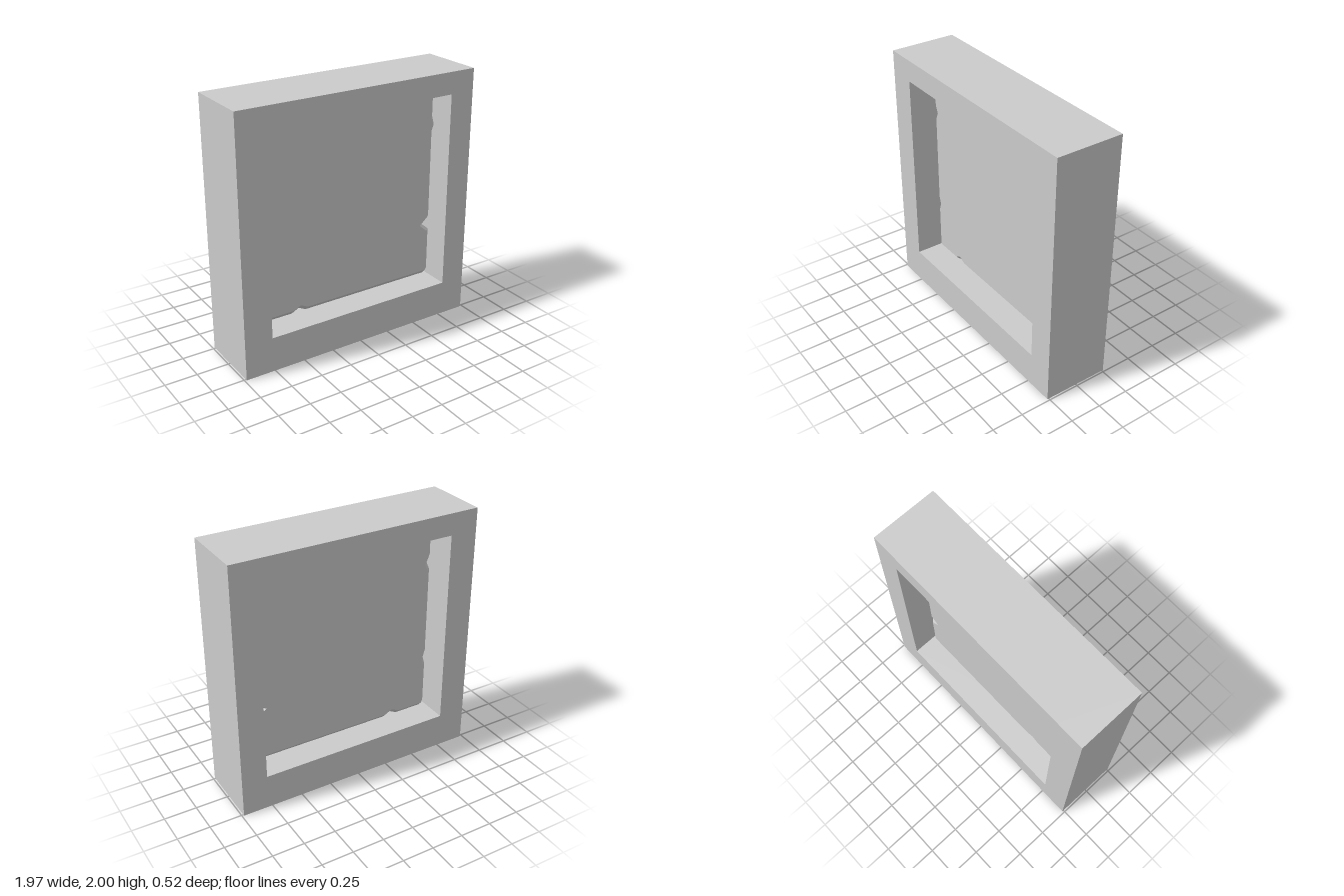
import * as THREE from 'three';

const HALF_W = 0.985, HALF_D = 0.262, TOP = 2;
const HOLE = { left: -0.765, right: 0.785, bottom: 0.275, top: 1.83 };
const material = new THREE.MeshStandardMaterial({ color: 0xcccccc });

function part(name, geometry) {
  const mesh = new THREE.Mesh(geometry, material);
  mesh.name = name;
  return mesh;
}

// Frame member spanning the full depth
function member(name, x0, x1, y0, y1) {
  const geo = new THREE.BoxGeometry(x1 - x0, y1 - y0, HALF_D * 2);
  geo.translate((x0 + x1) / 2, (y0 + y1) / 2, 0);
  return part(name, geo);
}

// Top rail: channel profile with a slot for the panel, extruded along x
function topRail() {
  const slot = 0.103, ceiling = 1.98;
  const profile = new THREE.Shape([
    [-HALF_D, HOLE.top], [-slot, HOLE.top], [-slot, ceiling], [slot, ceiling],
    [slot, HOLE.top], [HALF_D, HOLE.top], [HALF_D, TOP], [-HALF_D, TOP],
  ].map(([z, y]) => new THREE.Vector2(z, y)));
  const geo = new THREE.ExtrudeGeometry(profile, { depth: HOLE.right - HOLE.left, bevelEnabled: false });
  geo.rotateY(-Math.PI / 2); // profile x -> z, extrusion -> -x
  geo.translate(HOLE.right, 0, 0);
  return part('topRail', geo);
}

// Chipped slab: outer and inner outlines joined by sloping edges
function slab() {
  const b = 0.038, e = 0.002, h = 0.06;
  const L = -0.74, R = 0.785, B = 0.285, T = 1.817;
  const outer = [], inner = [];
  const add = (x, y, ix, iy) => {
    outer.push(new THREE.Vector2(x, y));
    inner.push(new THREE.Vector2(ix, iy));
  };
  // Chips shift both outlines sideways at their middle
  const chipX = (x, y, inset, dir, shift) => [-h, 0, h].forEach((d) => {
    const s = d === 0 ? shift : 0;
    add(x + d * dir, y + s, x + d * dir, y + inset + s);
  });
  const chipY = (x, y, inset, dir, shift) => [-h, 0, h].forEach((d) => {
    const s = d === 0 ? shift : 0;
    add(x + s, y + d * dir, x + inset + s, y + d * dir);
  });
  // Counter-clockwise from the lower left, with cut corners
  add(L + b, B, L + b + e, B + b);
  chipX(-0.42, B, b, 1, 0.03);
  add(R - b, B, R - b - e, B + b);
  add(R, B + b, R - b, B + b + e);
  chipY(R, 0.73, -b, 1, -0.07);
  chipY(R, 1.55, -b, 1, 0.025);
  add(R, T - b, R - b, T - b - e);
  add(R - b, T, R - b - e, T - b);
  chipX(-0.42, T, -b, -1, 0.03);
  add(L + b, T, L + b + e, T - b);
  add(L, T - b, L + b, T - b - e);
  chipY(L, 1.55, b, -1, 0.025);
  chipY(L, 0.73, b, -1, 0.018);
  add(L, B + b, L + b, B + b + e);

  const rings = [[inner, 0.08], [outer, 0.045], [outer, -0.045], [inner, -0.08]]
    .map(([pts, z]) => pts.map((p) => [p.x, p.y, z]));
  const pos = [];
  const tri = (p, q, r) => pos.push(...p, ...q, ...r);
  const n = outer.length;
  for (let k = 0; k < 3; k++) {
    for (let i = 0; i < n; i++) {
      const j = (i + 1) % n, a = rings[k], c = rings[k + 1];
      tri(a[i], c[i], c[j]);
      tri(a[i], c[j], a[j]);
    }
  }
  // Front and back faces
  for (const [i, j, k] of THREE.ShapeUtils.triangulateShape(inner, [])) {
    tri(rings[0][i], rings[0][j], rings[0][k]);
    tri(rings[3][i], rings[3][k], rings[3][j]);
  }
  const geo = new THREE.BufferGeometry();
  geo.setAttribute('position', new THREE.Float32BufferAttribute(pos, 3));
  geo.computeVertexNormals();
  return part('slidingSlab', geo);
}

export function createModel() {
  const model = new THREE.Group();
  model.name = 'framedSlab';
  const frame = new THREE.Group();
  frame.name = 'frame';
  frame.add(
    member('rightJamb', -HALF_W, HOLE.left, 0, TOP),
    member('leftJamb', HOLE.right, HALF_W, 0, TOP),
    member('sill', HOLE.left, HOLE.right, 0, HOLE.bottom),
    topRail(),
  );
  model.add(frame, slab());
  return model;
}
